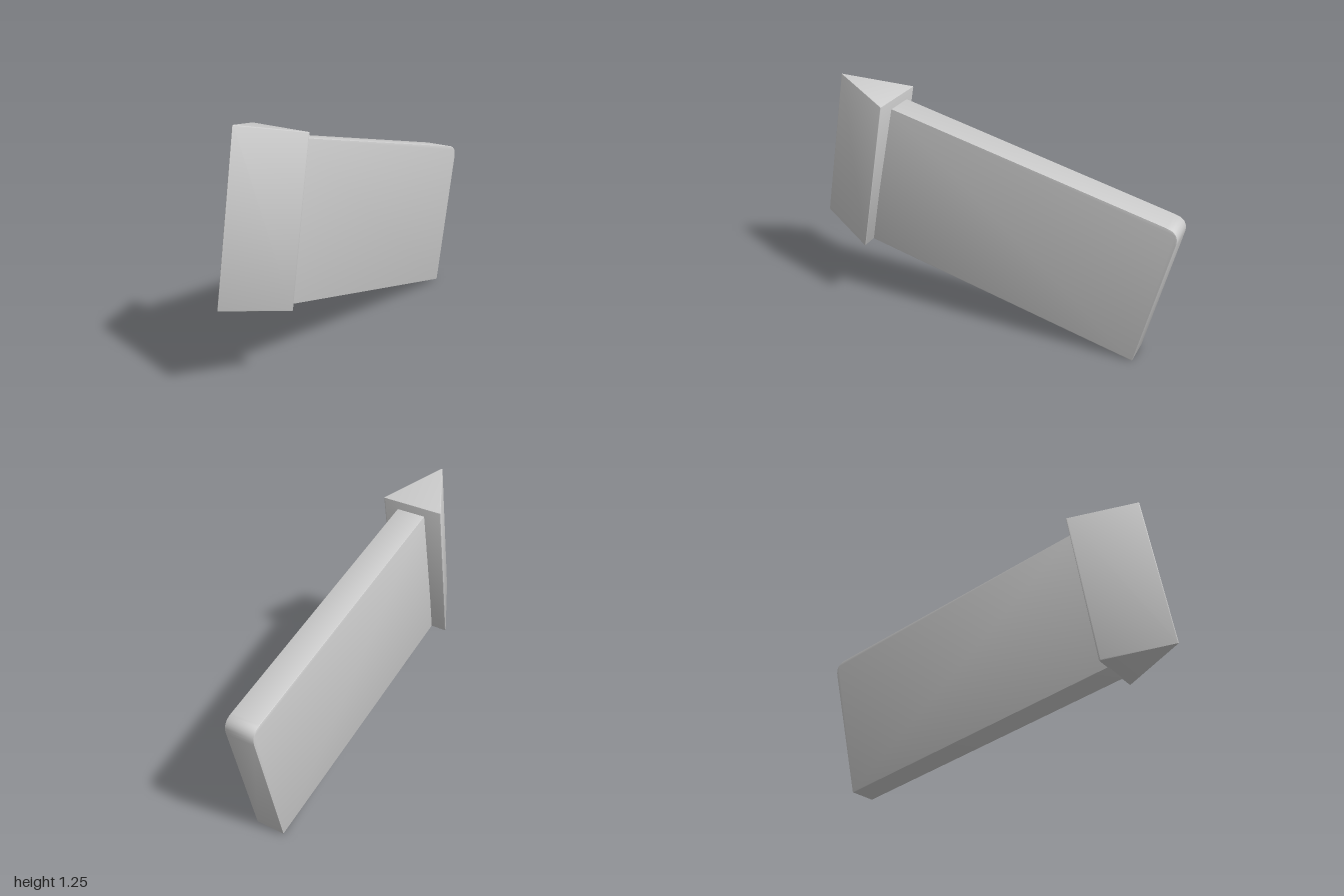
import * as THREE from 'three';
import { toCreasedNormals } from 'three/addons/utils/BufferGeometryUtils.js';

// Closed outline from corners [x, y, cut], each softened by a curve starting `cut` away.
function softShape(corners) {
  const shape = new THREE.Shape();
  const n = corners.length;
  corners.forEach(([x, y, cut], i) => {
    const p = new THREE.Vector2(x, y);
    const toward = (c) => new THREE.Vector2(c[0], c[1]).sub(p).setLength(cut).add(p);
    const a = toward(corners[(i + n - 1) % n]);
    const b = toward(corners[(i + 1) % n]);
    if (i === 0) shape.moveTo(a.x, a.y);
    else shape.lineTo(a.x, a.y);
    shape.quadraticCurveTo(x, y, b.x, b.y);
  });
  shape.closePath();
  return shape;
}

// Extrusion of exact total depth with finely bevelled rims, starting at z = 0.
function bevelled(shape, depth, bevel, curveSegments) {
  const g = new THREE.ExtrudeGeometry(shape, {
    depth: depth - 2 * bevel, curveSegments, bevelEnabled: true,
    bevelThickness: bevel, bevelSize: bevel, bevelOffset: -bevel, bevelSegments: 2,
  });
  return g.translate(0, 0, bevel);
}

export function createModel() {
  const group = new THREE.Group();
  const material = new THREE.MeshStandardMaterial({ color: 0xcccccc });
  const add = (name, geometry) => {
    const mesh = new THREE.Mesh(toCreasedNormals(geometry, 0.6), material);
    mesh.name = name;
    group.add(mesh);
  };

  // Flat slanted blade, outlined in (z, y), with a rounded upper rear corner
  const blade = bevelled(softShape([
    [0.68, 0.362, 0.006],
    [-0.825, 0, 0.008],
    [-1.008, 0.775, 0.07],
    [0.52, 1.142, 0.006],
  ]), 0.16, 0.005, 8);
  blade.translate(0, 0, -0.08).rotateY(-Math.PI / 2);
  add('blade', blade);

  // Triangular prism along the front edge, leaning back with the blade
  const wedge = bevelled(softShape([
    [-0.17, 0, 0.009],
    [0.17, 0, 0.009],
    [0, -0.333, 0.008],
  ]), 0.82, 0.004, 4);
  wedge.applyMatrix4(new THREE.Matrix4().set(
    1, 0, 0, 0,
    0, -0.227, 1, 0.36,
    0, -1, -0.177, 0.67,
    0, 0, 0, 1,
  ));
  add('frontWedge', wedge);

  return group;
}
